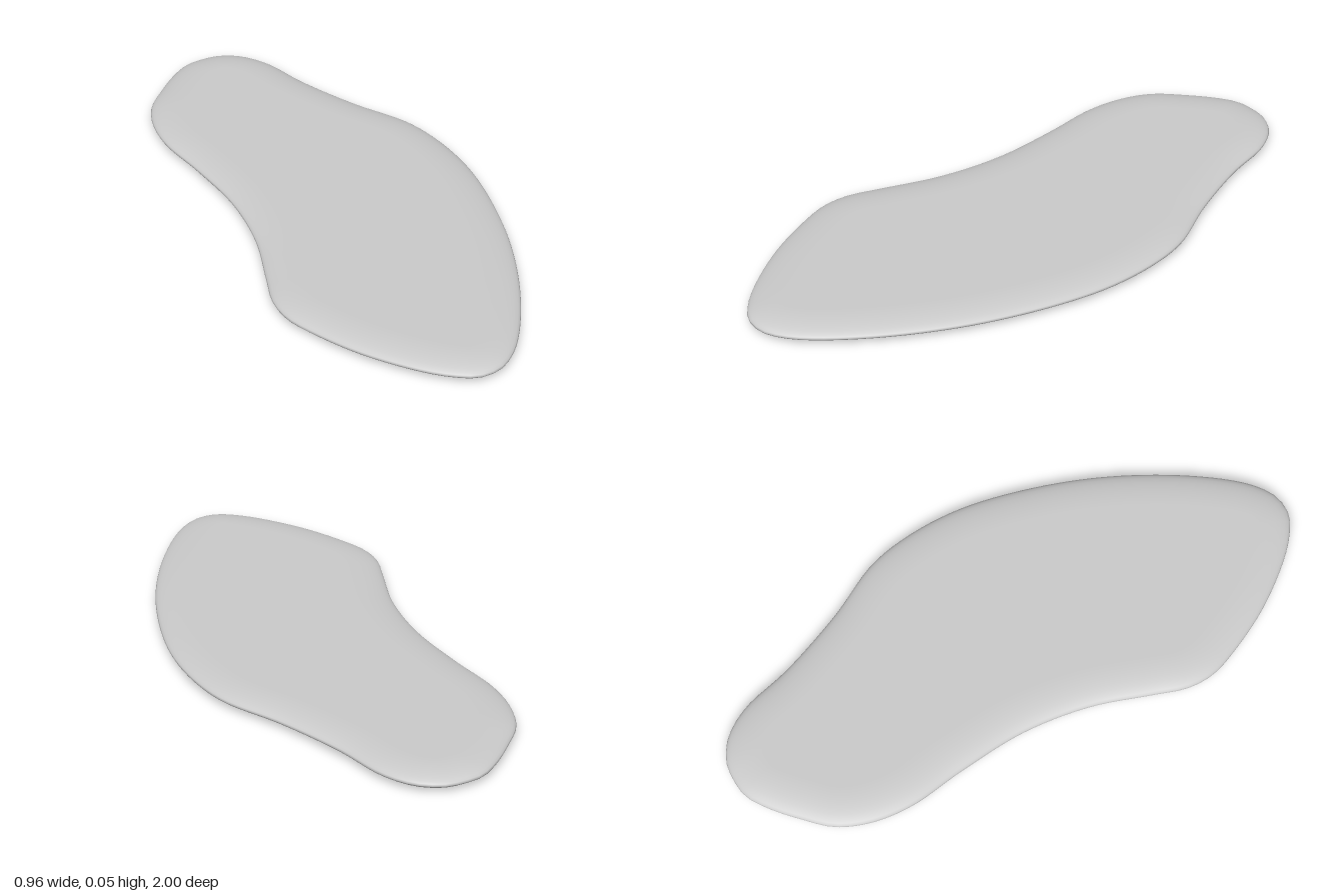
import * as THREE from 'three';

// Outline seen from above, as [x, z], running clockwise from the back tip
const OUTLINE = [
  [-0.16, -1.0], [-0.08, -0.975], [0, -0.9], [0.09, -0.735], [0.225, -0.54], [0.36, -0.38],
  [0.42, -0.255], [0.465, -0.08], [0.477, 0.105], [0.455, 0.38], [0.395, 0.635], [0.315, 0.84],
  [0.26, 0.93], [0.205, 0.98], [0.135, 0.997], [0.07, 0.977], [-0.01, 0.93], [-0.155, 0.805],
  [-0.27, 0.665], [-0.325, 0.575], [-0.345, 0.485], [-0.335, 0.37], [-0.315, 0.16],
  [-0.335, -0.065], [-0.4, -0.29], [-0.465, -0.475], [-0.48, -0.61], [-0.46, -0.725],
  [-0.405, -0.82], [-0.345, -0.905], [-0.28, -0.97], [-0.215, -0.993],
];
const HEIGHT = 0.053;
const EDGE = 0.12; // width of the rounded rim
const SEGMENTS = 128;
const RINGS = 16;

// Flat slab with an elliptical rim, swept around the outline and closed by two fans
function slabGeometry() {
  const curve = new THREE.CatmullRomCurve3(
    OUTLINE.map(([x, z]) => new THREE.Vector3(x, 0, z)), true);
  const rim = curve.getSpacedPoints(SEGMENTS).slice(0, SEGMENTS);
  const inward = rim.map((_, i) => {
    const t = rim[(i + 4) % SEGMENTS].clone().sub(rim[(i + SEGMENTS - 4) % SEGMENTS]).normalize();
    return new THREE.Vector3(-t.z, 0, t.x);
  });

  const positions = [];
  const index = [];
  for (let j = 0; j <= RINGS; j++) {
    const a = (j / RINGS) * Math.PI; // top to bottom
    const inset = EDGE * (1 - Math.sin(a));
    const y = (HEIGHT / 2) * (1 + Math.cos(a));
    rim.forEach((p, i) => {
      positions.push(p.x + inward[i].x * inset, y, p.z + inward[i].z * inset);
    });
  }
  const top = positions.length / 3;
  const bottom = top + 1;
  positions.push(0.05, HEIGHT, 0.1, 0.05, 0, 0.1);

  const last = RINGS * SEGMENTS;
  for (let i = 0; i < SEGMENTS; i++) {
    const n = (i + 1) % SEGMENTS;
    for (let j = 0; j < RINGS; j++) {
      const u = j * SEGMENTS;
      const d = u + SEGMENTS;
      index.push(u + i, u + n, d + i, u + n, d + n, d + i);
    }
    index.push(top, n, i, bottom, last + i, last + n);
  }

  const geometry = new THREE.BufferGeometry();
  geometry.setAttribute('position', new THREE.Float32BufferAttribute(positions, 3));
  geometry.setIndex(index);
  geometry.computeVertexNormals();
  return geometry;
}

export function createModel() {
  const group = new THREE.Group();
  group.name = 'flatStone';
  const slab = new THREE.Mesh(slabGeometry(), new THREE.MeshStandardMaterial({ color: 0xcccccc }));
  slab.name = 'stoneSlab';
  group.add(slab);
  return group;
}
